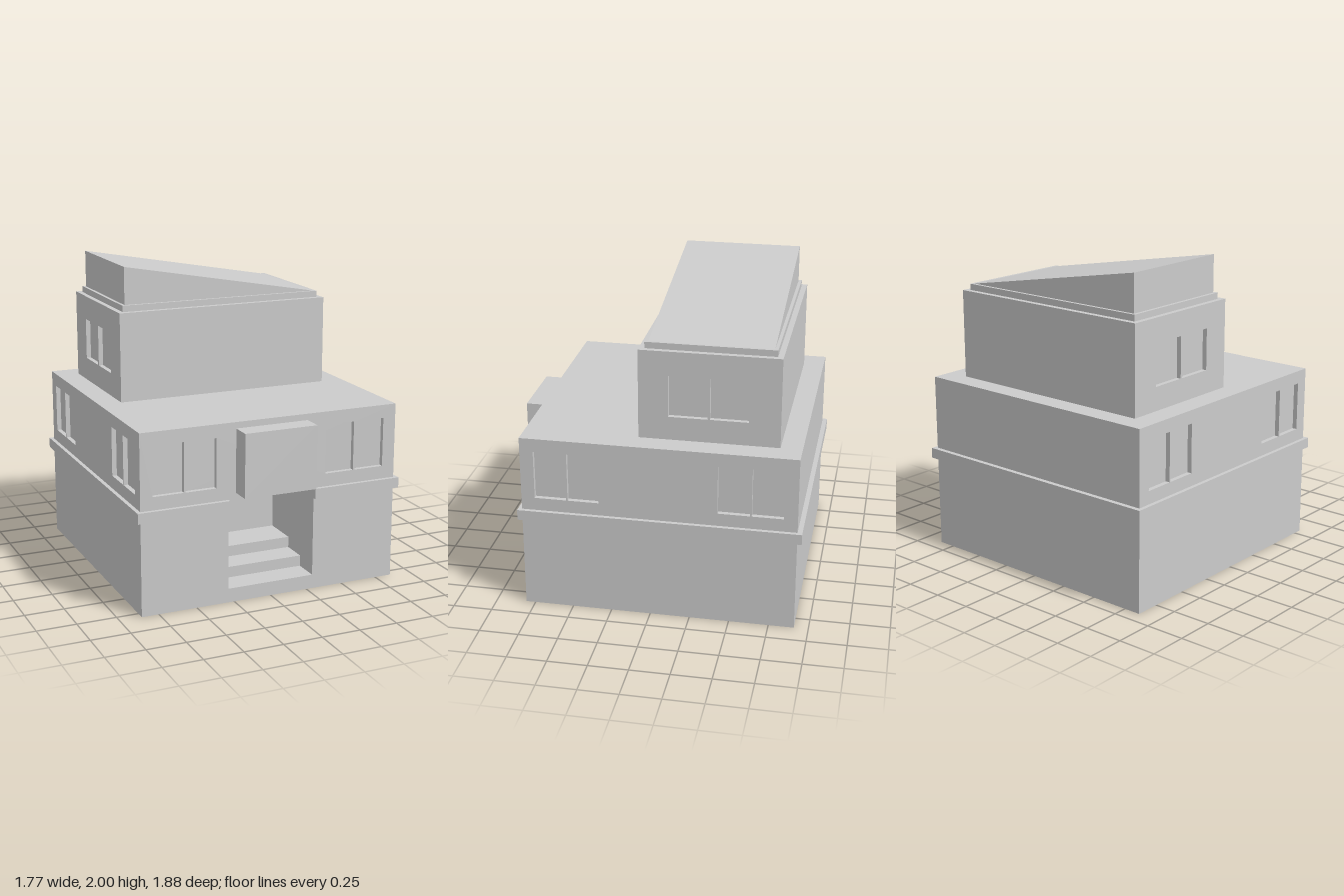
import * as THREE from 'three';

const material = new THREE.MeshStandardMaterial({ color: 0xcccccc, flatShading: true });
const REVEAL = 0.03; // depth of the window recesses

// Window rows: [from, to] along the wall, shared bottom and top
const rects = (spans, y0, y1) => spans.map(([a, b]) => [a, b, y0, y1]);
const frontWindows = rects([[-0.78, -0.58], [-0.57, -0.37], [0.37, 0.565], [0.575, 0.775]], 0.75, 1.065);
const lowerWindows = rects([[0.525, 0.725], [0.32, 0.515], [-0.62, -0.42], [-0.825, -0.63]], 0.75, 1.065);
const upperWindows = rects([[-0.33, -0.09], [-0.58, -0.345]], 1.30, 1.565);
const entrance = [-0.29, 0.29, 0.09, 0.667];

function outline(Type, [a, b, y0, y1]) {
  return new Type([[a, y0], [b, y0], [b, y1], [a, y1]].map(p => new THREE.Vector2(...p)));
}

// Thin wall with rectangular openings, extruded outward along +z
function wallGeometry(rect, openings) {
  const shape = outline(THREE.Shape, rect);
  shape.holes = openings.map(o => outline(THREE.Path, o));
  return new THREE.ExtrudeGeometry(shape, { depth: REVEAL, bevelEnabled: false });
}

// Plan outline given as [x, z] points, raised from y0 to y1
function planGeometry(points, y0, y1) {
  const shape = new THREE.Shape(points.map(([x, z]) => new THREE.Vector2(x, -z)));
  return new THREE.ExtrudeGeometry(shape, { depth: y1 - y0, bevelEnabled: false })
    .rotateX(-Math.PI / 2).translate(0, y0, 0);
}

export function createModel() {
  const model = new THREE.Group();
  model.name = 'house';

  function add(name, geometry) {
    const mesh = new THREE.Mesh(geometry, material);
    mesh.name = name;
    model.add(mesh);
  }
  function addBox(name, x0, x1, y0, y1, z0, z1) {
    add(name, new THREE.BoxGeometry(x1 - x0, y1 - y0, z1 - z0)
      .translate((x0 + x1) / 2, (y0 + y1) / 2, (z0 + z1) / 2));
  }
  // Mirrored pair of side walls; outer faces at x = +-halfWidth
  function addSideWalls(name, halfWidth, z0, z1, y0, y1, windows) {
    const inner = halfWidth - REVEAL;
    const flipped = windows.map(([a, b, c, d]) => [-b, -a, c, d]);
    add(name + 'Left', wallGeometry([-z1, -z0, y0, y1], flipped)
      .rotateY(Math.PI / 2).translate(inner, 0, 0));
    add(name + 'Right', wallGeometry([z0, z1, y0, y1], windows)
      .rotateY(-Math.PI / 2).translate(-inner, 0, 0));
  }

  // Lower storeys: core with an entrance niche, wrapped by recessed-window walls
  const W = 0.86, back = -0.91, front = 0.81;
  const coreX = W - REVEAL, coreZ = front - REVEAL, nicheZ = 0.23;
  add('groundFloorCore', planGeometry([
    [-coreX, back], [coreX, back], [coreX, coreZ], [0.29, coreZ],
    [0.29, nicheZ], [-0.29, nicheZ], [-0.29, coreZ], [-coreX, coreZ],
  ], 0, 0.667));
  addBox('middleFloorCore', -coreX, coreX, 0.667, 1.15, back, coreZ);
  add('frontWall', wallGeometry([-W, W, 0, 1.15], [entrance, ...frontWindows]).translate(0, 0, coreZ));
  addSideWalls('lowerWall', W, back, coreZ, 0, 1.15, lowerWindows);

  // Entrance steps
  [coreZ, 0.64, 0.47].forEach((z, i) =>
    addBox('step' + (i + 1), -0.29, 0.29, 0, 0.09 + i * 0.07, nicheZ, z));

  // Ledge around the house, open at the entrance
  add('ledge', planGeometry([
    [0.29, front], [0.29, 0.835], [0.885, 0.835], [0.885, -0.94],
    [-0.885, -0.94], [-0.885, 0.835], [-0.29, 0.835], [-0.29, front],
    [-W, front], [-W, back], [W, back], [W, front],
  ], 0.60, 0.667));

  // Projecting bay above the entrance
  addBox('frontBay', -0.24, 0.24, 0.705, 1.11, front, 0.94);

  // Top storey
  const U = 0.713;
  addBox('topFloorCore', -U + REVEAL, U - REVEAL, 1.15, 1.72, -0.775, 0.095);
  addSideWalls('topWall', U, -0.775, 0.095, 1.15, 1.72, upperWindows);
  addBox('roofCurb', -0.68, 0.68, 1.72, 1.76, -0.74, 0.06);

  // Sloping wedge roof, high on the right
  const wedge = new THREE.Shape([[-0.66, 1.76], [0.66, 1.76], [-0.66, 2]].map(p => new THREE.Vector2(...p)));
  add('slopedRoof', new THREE.ExtrudeGeometry(wedge, { depth: 0.76, bevelEnabled: false }).translate(0, 0, -0.72));

  return model;
}
